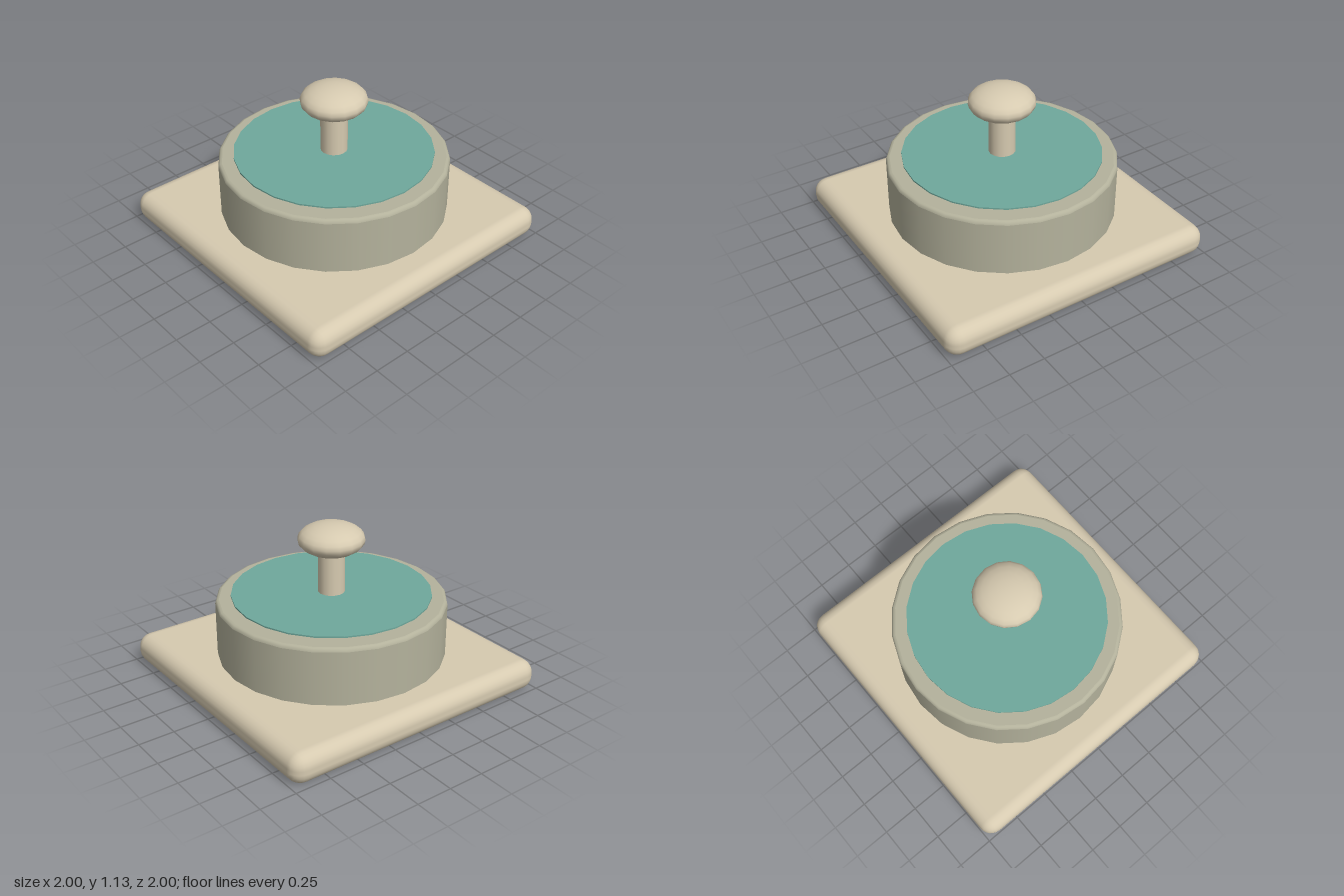
import * as THREE from 'three';
import { RoundedBoxGeometry } from 'three/addons/geometries/RoundedBoxGeometry.js';

const material = (color) => new THREE.MeshStandardMaterial({ color });
const cream = material(0xd6cab0);
const greyGreen = material(0xb4b29c);
const teal = material(0x6fa89c);

// Closed cylinder with softly rounded rims; repeated points keep the flats crisp
function roundedCylinder(radius, y0, y1, bevel, sides) {
  const profile = [new THREE.Vector2(0, y0)];
  const corner = (cy, from) => {
    for (let i = 0; i <= 3; i++) {
      const a = from + (i / 3) * (Math.PI / 2);
      const p = new THREE.Vector2(radius - bevel + Math.cos(a) * bevel, cy + Math.sin(a) * bevel);
      profile.push(p);
      if (i === 0 || i === 3) profile.push(p.clone());
    }
  };
  corner(y0 + bevel, -Math.PI / 2);
  corner(y1 - bevel, 0);
  profile.push(new THREE.Vector2(0, y1));
  return new THREE.LatheGeometry(profile, sides);
}

export function createModel() {
  const group = new THREE.Group();
  const add = (name, geometry, mat, y = 0) => {
    const mesh = new THREE.Mesh(geometry, mat);
    mesh.name = name;
    mesh.position.y = y;
    group.add(mesh);
    return mesh;
  };

  // Square plinth with rounded edges
  add('basePlate', new RoundedBoxGeometry(2, 0.215, 2, 3, 0.095), cream, 0.1075);

  // Round body and the thin disc hovering just over it
  add('drum', roundedCylinder(0.783, 0.19, 0.615, 0.025, 24), greyGreen);
  add('topDisc', new THREE.CylinderGeometry(0.678, 0.678, 0.01, 24), teal, 0.64);

  // Plunger: stem and flattened knob
  add('stem', roundedCylinder(0.092, 0.612, 0.97, 0.02, 16), cream);
  const knob = add('knob', new THREE.SphereGeometry(0.227, 16, 12), cream, 1.021);
  knob.scale.y = 0.107 / 0.227;

  return group;
}
